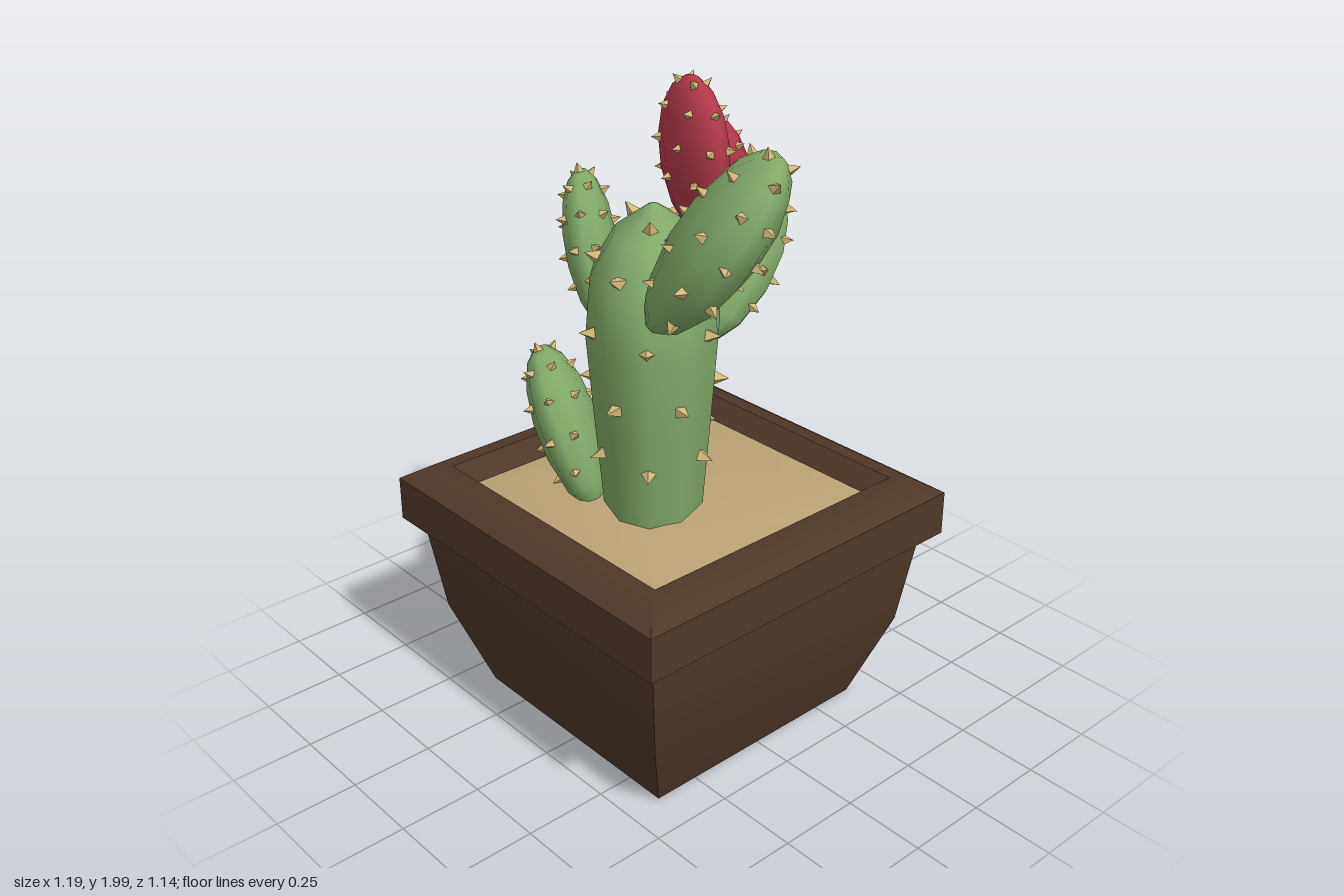
import * as THREE from 'three';
import { mergeGeometries, toCreasedNormals } from 'three/addons/utils/BufferGeometryUtils.js';

const mat = (name, color) => {
  const m = new THREE.MeshStandardMaterial({ color });
  m.name = name;
  return m;
};
const V = (a) => new THREE.Vector3(...a);

// [height -1..1, relative radius] along each plant part
const PADDLE = [[-1, 0], [-0.98, 0.34], [-0.75, 0.66], [-0.3, 0.94], [0.15, 1], [0.55, 0.86], [0.85, 0.56], [0.99, 0.2], [1, 0]];
const STEM = [[-1, 0.76], [-0.31, 0.9], [0.23, 1], [0.6, 0.92], [0.83, 0.58], [0.98, 0.1], [1, 0]];

function radiusAt(profile, t) {
  const i = Math.max(1, profile.findIndex((p) => p[0] >= t));
  const [t0, r0] = profile[i - 1], [t1, r1] = profile[i];
  return r0 + ((r1 - r0) * (t - t0)) / (t1 - t0);
}

export function createModel() {
  const model = new THREE.Group();
  model.name = 'pottedCactus';
  const green = mat('cactus green', 0x82aa69);
  const red = mat('fruit red', 0xb53a4c);
  const tan = mat('spine tan', 0xd2b878);
  const brown = mat('pot brown', 0x4e3829);
  const sandy = mat('sand', 0xbba374);

  const add = (parent, name, geometry, material) => {
    const mesh = new THREE.Mesh(geometry, material);
    mesh.name = name;
    parent.add(mesh);
  };

  // Square lathe: points are [half width, y]
  const square = (points) => {
    const g = new THREE.LatheGeometry(points.map(([h, y]) => new THREE.Vector2(h * Math.SQRT2, y)), 4);
    g.rotateY(Math.PI / 4);
    g.translate(-0.015, 0, 0);
    return toCreasedNormals(g, 0.7);
  };

  // Flattened oval body with spines, set along an axis
  // size: half length, half width, half thickness
  // rows: [height, spine count] for each ring of spines
  function plantPart(name, center, axis, widthDir, size, material, profile, rows, spine) {
    const part = new THREE.Group();
    part.name = name;
    const [L, W, T] = size;
    const a = V(axis).normalize();
    const w = V(widthDir);
    w.addScaledVector(a, -w.dot(a)).normalize();
    const n = new THREE.Vector3().crossVectors(w, a);
    const place = new THREE.Matrix4().makeBasis(w, a, n).setPosition(V(center));

    const body = new THREE.LatheGeometry(profile.map(([t, r]) => new THREE.Vector2(r, t)), 10);
    body.rotateY(Math.PI / 2);
    body.scale(W, L, T);
    body.applyMatrix4(place);
    add(part, name + 'Body', body, material);

    const up = new THREE.Vector3(0, 1, 0);
    const spines = [];
    rows.forEach(([t, count], row) => {
      const r = radiusAt(profile, t) * 0.97;
      for (let i = 0; i < count; i++) {
        const q = ((i + (row % 2) * 0.5) / count) * Math.PI * 2;
        const x = Math.cos(q) * r, z = Math.sin(q) * r;
        const normal = new THREE.Vector3(x / W, t / L, z / T).normalize();
        const cone = new THREE.ConeGeometry(spine, spine * 1.9, 4, 1, true).toNonIndexed();
        cone.computeVertexNormals();
        cone.translate(0, spine * 0.7, 0);
        cone.applyQuaternion(new THREE.Quaternion().setFromUnitVectors(up, normal));
        cone.translate(x * W, t * L, z * T);
        spines.push(cone.applyMatrix4(place));
      }
    });
    add(part, name + 'Spines', mergeGeometries(spines), tan);
    model.add(part);
  }

  // Pot
  add(model, 'potBody', square([[0, 0], [0.39, 0], [0.485, 0.27], [0.52, 0.53], [0.52, 0.56]]), brown);
  add(model, 'potRim', square([[0.5, 0.535], [0.53, 0.54], [0.57, 0.575], [0.57, 0.71], [0.5, 0.755], [0.455, 0.755], [0.39, 0.69]]), brown);
  add(model, 'sand', square([[0.415, 0.7], [0.28, 0.73], [0, 0.745]]), sandy);

  // Plant
  const armRows = [[-0.55, 5], [-0.15, 7], [0.3, 7], [0.68, 6], [0.94, 3]];
  plantPart('stem', [0.01, 1.145, 0.08], [0, 1, 0], [1, 0, 1], [0.465, 0.285, 0.19],
    green, STEM, [[-0.5, 6], [-0.1, 6], [0.3, 6], [0.66, 6], [0.9, 3]], 0.023);
  plantPart('largeLeftArm', [0.355, 1.605, 0.175], [0.6, 0.78, -0.145], [0.6, -0.33, 0.73],
    [0.3, 0.205, 0.105], green, PADDLE, armRows, 0.018);
  plantPart('backArm', [-0.06, 1.35, -0.285], [-0.2, 0.75, -0.63], [0.93, 0, -0.35],
    [0.255, 0.15, 0.095], green, PADDLE, armRows, 0.018);
  plantPart('upperRightArm', [-0.31, 1.395, 0.04], [-0.455, 0.864, -0.227], [0.6, 0.4, 0.7],
    [0.22, 0.125, 0.075], green, PADDLE, armRows, 0.016);
  plantPart('lowerRightArm', [-0.235, 0.89, 0.2], [-0.55, 0.83, -0.05], [0.6, 0.37, 0.7],
    [0.25, 0.165, 0.09], green, PADDLE, armRows, 0.016);

  // Fruit
  const fruitRows = [[-0.3, 7], [0.15, 7], [0.6, 6], [0.92, 4]];
  plantPart('largeFruit', [0.175, 1.785, 0.085], [0, 1, 0.03], [0.97, 0, 0.18],
    [0.2, 0.138, 0.066], red, PADDLE, fruitRows, 0.014);
  plantPart('smallFruit', [-0.14, 1.635, -0.3], [-0.05, 0.24, 0.12], [1, 0, 0.2],
    [0.15, 0.102, 0.072], red, PADDLE, fruitRows, 0.013);

  return model;
}
